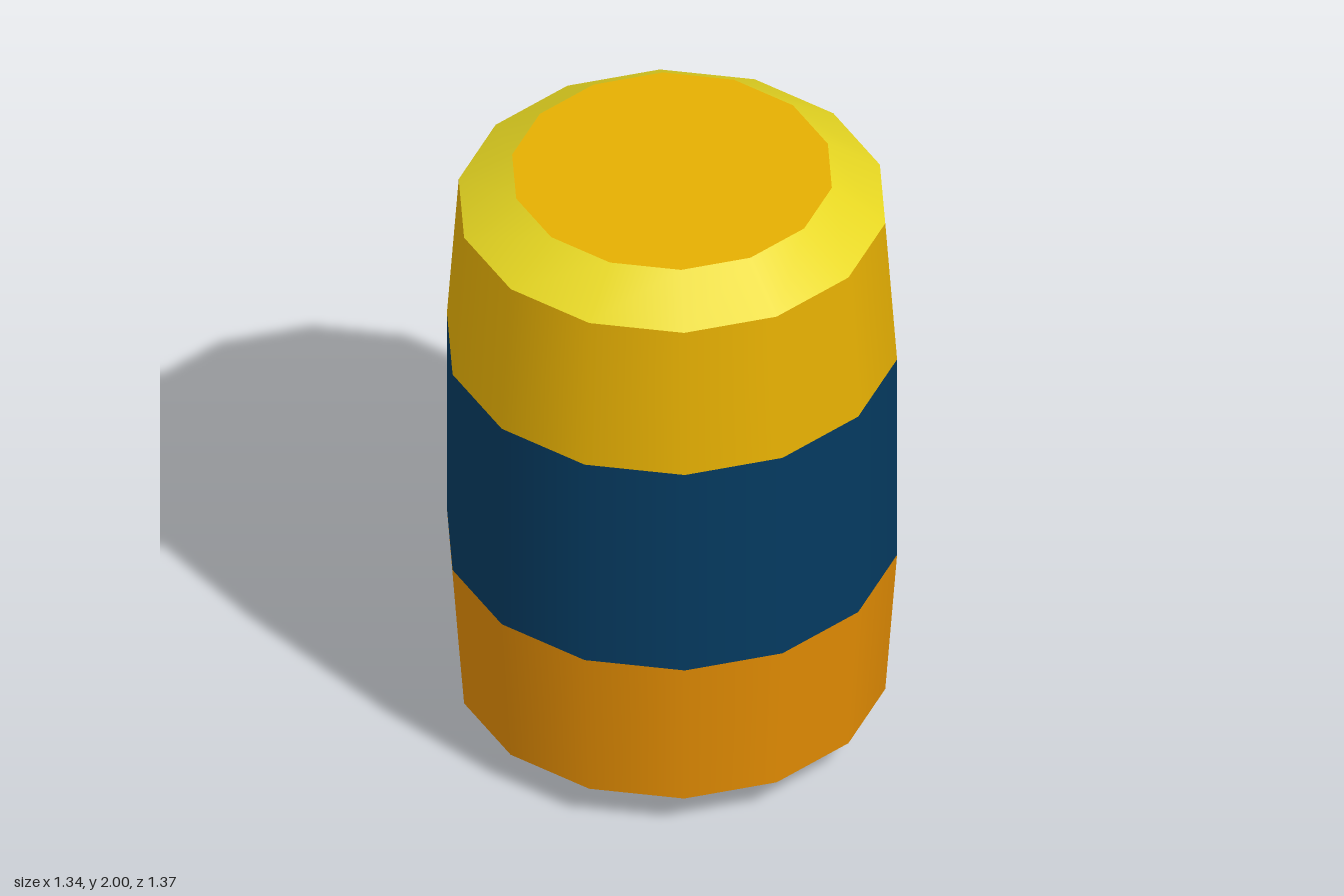
import * as THREE from 'three';

const SIDES = 14;

function material(name, color) {
  const m = new THREE.MeshStandardMaterial({ color });
  m.name = name;
  return m;
}

export function createModel() {
  const barrel = new THREE.Group();
  barrel.name = 'barrel';

  const yellow = material('golden yellow', 0xe5af02);
  const lemon = material('lemon yellow', 0xe8d822);
  const blue = material('navy blue', 0x043a60);
  const orange = material('orange', 0xe28c02);
  const brown = material('brown', 0xbe5204);

  // Stacked rings: name, bottom radius, bottom y, top radius, top y, colour
  const rings = [
    ['bottomBevel', 0.488, 0, 0.651, 0.118, brown],
    ['lowerBody', 0.651, 0.118, 0.687, 0.632, orange],
    ['middleBand', 0.687, 0.632, 0.687, 1.374, blue],
    ['upperBody', 0.687, 1.374, 0.651, 1.886, yellow],
    ['topBevel', 0.651, 1.886, 0.488, 2, lemon],
  ];
  for (const [name, r0, y0, r1, y1, mat] of rings) {
    const geometry = new THREE.CylinderGeometry(r1, r0, y1 - y0, SIDES, 1, true);
    const ring = new THREE.Mesh(geometry, mat);
    ring.name = name;
    ring.position.y = (y0 + y1) / 2;
    barrel.add(ring);
  }

  // Flat lid and base, with a corner on the z axis like the rings
  for (const [name, y, tilt, mat] of [
    ['lid', 2, -Math.PI / 2, yellow],
    ['base', 0, Math.PI / 2, brown],
  ]) {
    const disc = new THREE.Mesh(new THREE.CircleGeometry(0.488, SIDES, Math.PI / 2), mat);
    disc.name = name;
    disc.rotation.x = tilt;
    disc.position.y = y;
    barrel.add(disc);
  }

  return barrel;
}
